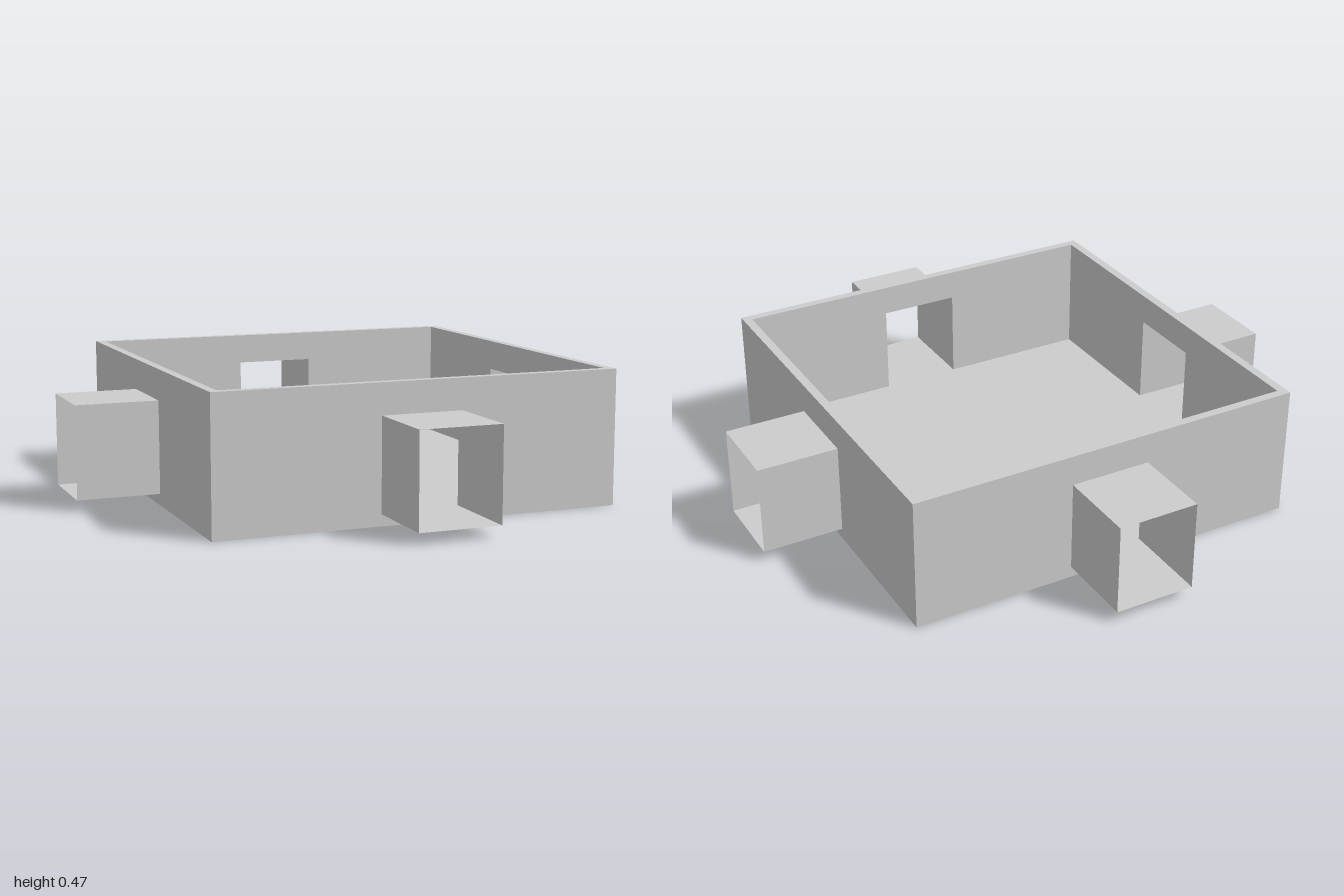
import * as THREE from 'three';

const OUT = 0.714, INN = 0.683;           // half widths outside and inside the walls
const TOP = 0.468, FLOOR = 0.04;          // rim and inner floor heights
const DOOR = 0.143, DOOR_TOP = 0.361;     // half width and top of the openings
const END = 1.0;                          // outer end of the passages

const poly = (pts) => pts.map(([x, y]) => new THREE.Vector2(x, y));
const square = (h) => poly([[-h, -h], [h, -h], [h, h], [-h, h]]);

export function createModel() {
  const model = new THREE.Group();
  model.name = 'room';
  const solid = new THREE.MeshStandardMaterial({ color: 0xcccccc, flatShading: true });
  const thin = new THREE.MeshStandardMaterial({ color: 0xcccccc, flatShading: true, side: THREE.DoubleSide });

  const add = (parent, name, geometry, material = solid) => {
    const mesh = new THREE.Mesh(geometry, material);
    mesh.name = name;
    parent.add(mesh);
    return mesh;
  };

  // Floor, underside and the top edge of the walls
  add(model, 'floor', new THREE.PlaneGeometry(2 * INN, 2 * INN).rotateX(-Math.PI / 2).translate(0, FLOOR, 0));
  add(model, 'underside', new THREE.PlaneGeometry(2 * OUT, 2 * OUT).rotateX(Math.PI / 2));
  const rim = new THREE.Shape(square(OUT));
  rim.holes.push(new THREE.Path(square(INN)));
  add(model, 'rim', new THREE.ShapeGeometry(rim).rotateX(-Math.PI / 2).translate(0, TOP, 0));

  // Outer wall face with a rectangular opening
  const outer = new THREE.Shape(poly([[-OUT, 0], [OUT, 0], [OUT, TOP], [-OUT, TOP]]));
  outer.holes.push(new THREE.Path(poly([[-DOOR, FLOOR], [DOOR, FLOOR], [DOOR, DOOR_TOP], [-DOOR, DOOR_TOP]])));
  const outerGeo = new THREE.ShapeGeometry(outer).translate(0, 0, OUT);

  // Inner wall face, notched where the opening meets the floor
  const inner = new THREE.Shape(poly([
    [-INN, FLOOR], [-DOOR, FLOOR], [-DOOR, DOOR_TOP], [DOOR, DOOR_TOP],
    [DOOR, FLOOR], [INN, FLOOR], [INN, TOP], [-INN, TOP],
  ]));
  const innerGeo = new THREE.ShapeGeometry(inner).rotateY(Math.PI).translate(0, 0, INN);

  // Open rectangular passage running from the inner wall face outwards
  const passageGeo = new THREE.CylinderGeometry(Math.SQRT1_2, Math.SQRT1_2, 1, 4, 1, true)
    .rotateY(Math.PI / 4)
    .rotateX(Math.PI / 2)
    .scale(2 * DOOR, DOOR_TOP - FLOOR, END - INN)
    .translate(0, (DOOR_TOP + FLOOR) / 2, (END + INN) / 2);

  // The same side four times around
  ['front', 'left', 'back', 'right'].forEach((name, i) => {
    const side = new THREE.Group();
    side.name = `${name}Side`;
    side.rotation.y = i * Math.PI / 2;
    add(side, 'outerWall', outerGeo);
    add(side, 'innerWall', innerGeo);
    add(side, 'passage', passageGeo, thin);
    model.add(side);
  });

  return model;
}
